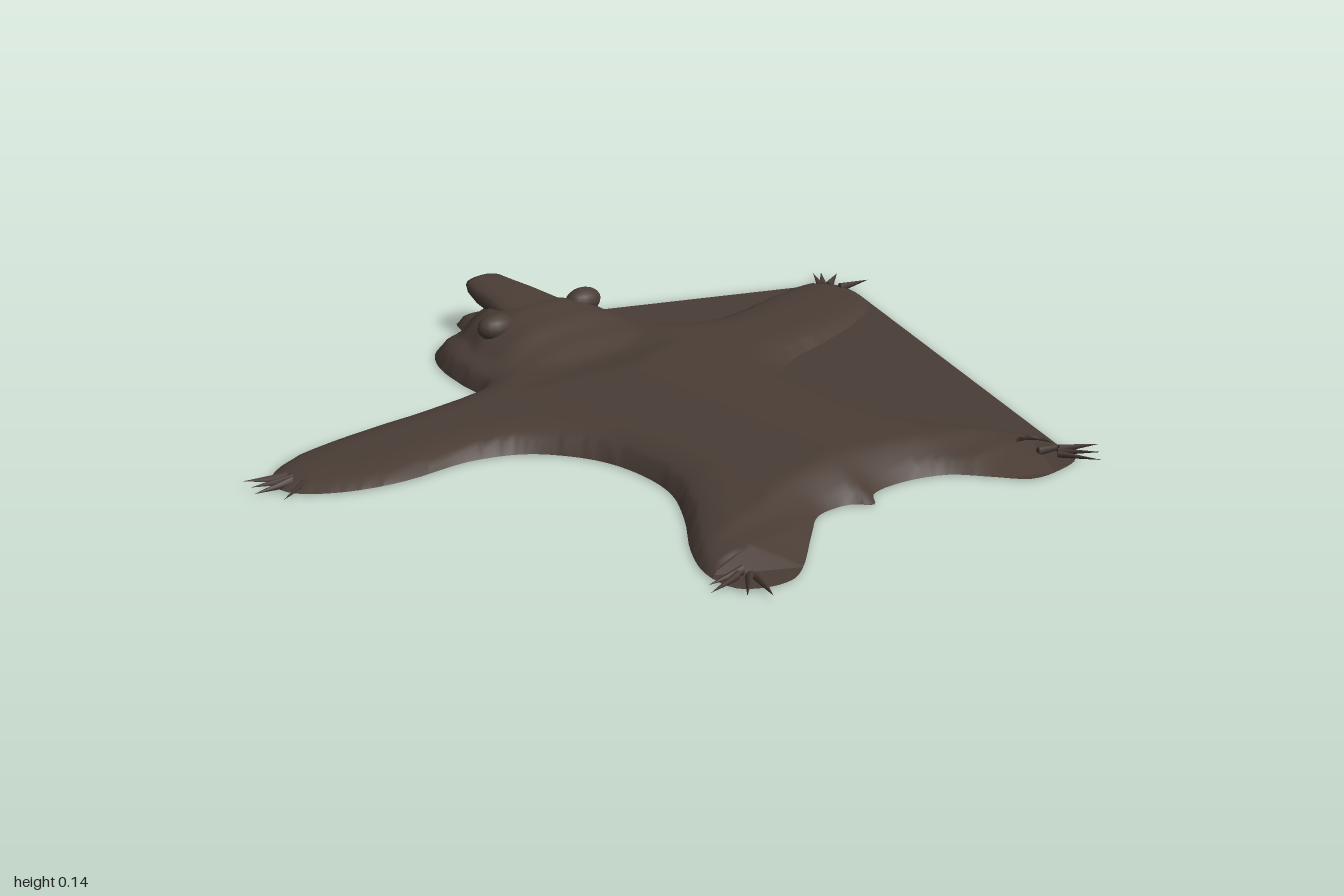
import * as THREE from 'three';

const fur = new THREE.MeshStandardMaterial({ color: 0x4a3d36, side: THREE.DoubleSide });
fur.name = 'brown fur';

// Plan outline of the pelt as x, z pairs, from the tail round by the right side
const OUTLINE = [
  -0.02, 0.65, -0.06, 0.615, -0.15, 0.61, -0.22, 0.66, -0.37, 0.78, -0.42, 0.8, -0.48, 0.79, -0.53, 0.75,
  -0.53, 0.66, -0.48, 0.56, -0.38, 0.43, -0.31, 0.31, -0.29, 0.2, -0.3, 0.09, -0.34, 0, -0.41, -0.08,
  -0.53, -0.13, -0.7, -0.14, -0.83, -0.18, -0.92, -0.25, -0.93, -0.32, -0.88, -0.38, -0.76, -0.42,
  -0.55, -0.415, -0.3, -0.405, -0.26, -0.42, -0.25, -0.5, -0.22, -0.63, -0.17, -0.71, -0.1, -0.755,
  -0.03, -0.78, 0, -0.84, 0.04, -0.85, 0.08, -0.84, 0.12, -0.77, 0.18, -0.73, 0.25, -0.66, 0.27, -0.57,
  0.3, -0.49, 0.36, -0.43, 0.44, -0.4, 0.55, -0.4, 0.7, -0.43, 0.84, -0.445, 0.9, -0.43, 0.92, -0.37,
  0.9, -0.28, 0.86, -0.22, 0.74, -0.16, 0.6, -0.12, 0.46, -0.09, 0.38, -0.05, 0.34, 0.02, 0.33, 0.15,
  0.32, 0.28, 0.35, 0.4, 0.42, 0.51, 0.5, 0.62, 0.53, 0.7, 0.5, 0.78, 0.42, 0.8, 0.34, 0.79,
  0.28, 0.72, 0.22, 0.65, 0.12, 0.61, 0.02, 0.61,
];
const STEPS = 4;

const corners = [];
for (let i = 0; i < OUTLINE.length; i += 2) corners.push(new THREE.Vector3(OUTLINE[i], 0, OUTLINE[i + 1]));
const edge = new THREE.CatmullRomCurve3(corners, true, 'centripetal').getPoints(corners.length * STEPS).slice(0, -1);

// Linear interpolation through [position, value] pairs in rising order
function ramp(t, pairs) {
  if (t <= pairs[0][0]) return pairs[0][1];
  for (let i = 1; i < pairs.length; i++) {
    const [a, va] = pairs[i - 1], [b, vb] = pairs[i];
    if (t <= b) return va + (vb - va) * THREE.MathUtils.smoothstep(t, a, b) * 0.5 + (vb - va) * 0.5 * (t - a) / (b - a);
  }
  return pairs[pairs.length - 1][1];
}
const dome = (t) => Math.sqrt(1 - (1 - Math.min(t, 1)) ** 2);

function inside(x, z) {
  let hit = false;
  edge.forEach((a, i) => {
    const b = edge[(i + 1) % edge.length];
    if ((a.z > z) !== (b.z > z) && x < a.x + (b.x - a.x) * (z - a.z) / (b.z - a.z)) hit = !hit;
  });
  return hit;
}

function nearestOnEdge(x, z) {
  let best = { d: Infinity };
  edge.forEach((a, i) => {
    const b = edge[(i + 1) % edge.length], ux = b.x - a.x, uz = b.z - a.z;
    const t = THREE.MathUtils.clamp(((x - a.x) * ux + (z - a.z) * uz) / (ux * ux + uz * uz), 0, 1);
    const px = a.x + ux * t, pz = a.z + uz * t, d = Math.hypot(x - px, z - pz);
    if (d < best.d) best = { d, x: px, z: pz };
  });
  return best;
}

// Height of the fur above the floor: flat back, thin limbs, raised head
function height(x, z, d) {
  const acrossBody = ramp(Math.abs(x), [[0, 0.073], [0.2, 0.063], [0.3, 0.05], [0.5, 0.036], [0.8, 0.021], [0.95, 0.012]]);
  const alongBody = ramp(z, [[-0.75, 0.034], [-0.6, 0.055], [-0.3, 0.056], [-0.18, 0.073], [0.5, 0.073], [0.62, 0.034], [0.76, 0.022]]);
  const body = Math.min(acrossBody, alongBody) * dome(d / 0.1);
  if (z > -0.3) return body;
  const top = ramp(z, [[-0.85, 0.03], [-0.76, 0.036], [-0.72, 0.08], [-0.65, 0.11], [-0.55, 0.123], [-0.47, 0.112], [-0.4, 0.085], [-0.3, 0.05]]);
  const half = ramp(z, [[-0.85, 0.09], [-0.74, 0.13], [-0.65, 0.2], [-0.55, 0.26], [-0.42, 0.28], [-0.3, 0.3]]);
  const q = Math.min(Math.abs(x - 0.035) / half, 1);
  return Math.max(body, top * (1 - q ** 2.6) * dome(d / 0.07));
}

// Grid sheet whose rim is pulled onto the outline
function peltGeometry() {
  const cell = 0.016, nx = 120, nz = 98, x0 = -0.96, z0 = -0.88, row = nx + 1;
  const index = [], kept = new Uint8Array(row * (nz + 1));
  for (let j = 0; j < nz; j++) for (let i = 0; i < nx; i++) {
    if (!inside(x0 + (i + 0.5) * cell, z0 + (j + 0.5) * cell)) continue;
    const a = j * row + i, b = a + 1, c = a + row, e = c + 1;
    index.push(a, c, b, b, c, e);
    for (const v of [a, b, c, e]) kept[v]++;
  }
  const pos = new Float32Array(kept.length * 3);
  kept.forEach((count, v) => {
    if (!count) return;
    let x = x0 + (v % row) * cell, z = z0 + Math.floor(v / row) * cell, y = 0;
    const near = nearestOnEdge(x, z);
    if (count < 4) { x = near.x; z = near.z; }
    else y = height(x, z, near.d);
    pos.set([x, y, z], v * 3);
  });
  const geo = new THREE.BufferGeometry();
  geo.setAttribute('position', new THREE.BufferAttribute(pos, 3));
  geo.setIndex(index);
  geo.computeVertexNormals();
  return geo;
}

// Flat backing, which bridges the hollows on the left side
function backingGeometry() {
  const at = (x, z) => STEPS * corners.findIndex((p) => p.x === x && p.z === z);
  const bridges = [[at(0.12, -0.77), at(0.84, -0.445)], [at(0.9, -0.28), at(0.53, 0.7)]];
  const rim = edge.filter((p, i) => !bridges.some(([a, b]) => i > a && i < b));
  const geo = new THREE.ShapeGeometry(new THREE.Shape(rim.map((p) => new THREE.Vector2(p.x, p.z))));
  return geo.rotateX(Math.PI / 2);
}

// Upper snout from rounded sections [z, centre y, half width, half height]
function snoutGeometry() {
  const rings = [[-0.52, 0.09, 0.1, 0.025], [-0.6, 0.093, 0.088, 0.032], [-0.67, 0.1, 0.075, 0.033], [-0.73, 0.105, 0.066, 0.03],
    [-0.775, 0.115, 0.056, 0.022], [-0.793, 0.118, 0.045, 0.015], [-0.8, 0.12, 0.001, 0.001]];
  const n = 20, pos = [], index = [];
  rings.forEach(([z, cy, w, h], r) => {
    for (let k = 0; k < n; k++) {
      const a = (k / n) * Math.PI * 2, c = Math.cos(a), s = Math.sin(a);
      pos.push(0.042 + w * Math.sign(c) * Math.abs(c) ** 0.8, cy + h * Math.sign(s) * Math.abs(s) ** 0.8, z);
      if (r === 0) continue;
      const p = (r - 1) * n + k, q = (r - 1) * n + (k + 1) % n;
      index.push(p, p + n, q, q, p + n, q + n);
    }
  });
  const geo = new THREE.BufferGeometry();
  geo.setAttribute('position', new THREE.Float32BufferAttribute(pos, 3));
  geo.setIndex(index);
  geo.computeVertexNormals();
  return geo;
}

export function createModel() {
  const model = new THREE.Group();
  model.name = 'animalRug';
  const add = (name, geometry, parent = model) => {
    const mesh = new THREE.Mesh(geometry, fur);
    mesh.name = name;
    parent.add(mesh);
    return mesh;
  };

  add('pelt', peltGeometry());
  add('backing', backingGeometry());
  add('upperSnout', snoutGeometry());

  // Low rounded ears
  for (const [name, x] of [['rightEar', -0.105], ['leftEar', 0.175]]) {
    const ear = add(name, new THREE.SphereGeometry(1, 16, 10));
    ear.scale.set(0.05, 0.032, 0.035);
    ear.position.set(x, 0.1, -0.55);
  }

  // Claws: each paw centre with its claw tips
  const paws = {
    rightFrontClaws: [[-0.84, -0.29], [[-0.98, -0.365], [-1, -0.29], [-0.97, -0.22], [-0.985, -0.325]]],
    leftFrontClaws: [[0.84, -0.36], [[0.92, -0.485], [0.965, -0.44], [0.99, -0.35], [0.94, -0.475]]],
    rightHindClaws: [[-0.45, 0.71], [[-0.595, 0.745], [-0.55, 0.805], [-0.51, 0.84], [-0.575, 0.715]]],
    leftHindClaws: [[0.45, 0.71], [[0.585, 0.775], [0.555, 0.81], [0.52, 0.84], [0.545, 0.74]]],
  };
  const up = new THREE.Vector3(0, 1, 0);
  for (const [name, [[cx, cz], tips]] of Object.entries(paws)) {
    const group = new THREE.Group();
    group.name = name;
    model.add(group);
    for (const [x, z] of tips) {
      const dir = new THREE.Vector3(x - cx, 0, z - cz).normalize();
      const claw = add('claw', new THREE.ConeGeometry(0.013, 0.1, 6), group);
      claw.quaternion.setFromUnitVectors(up, dir);
      claw.position.set(x, 0.009, z).addScaledVector(dir, -0.05);
      claw.scale.z = 0.6;
    }
  }
  return model;
}
